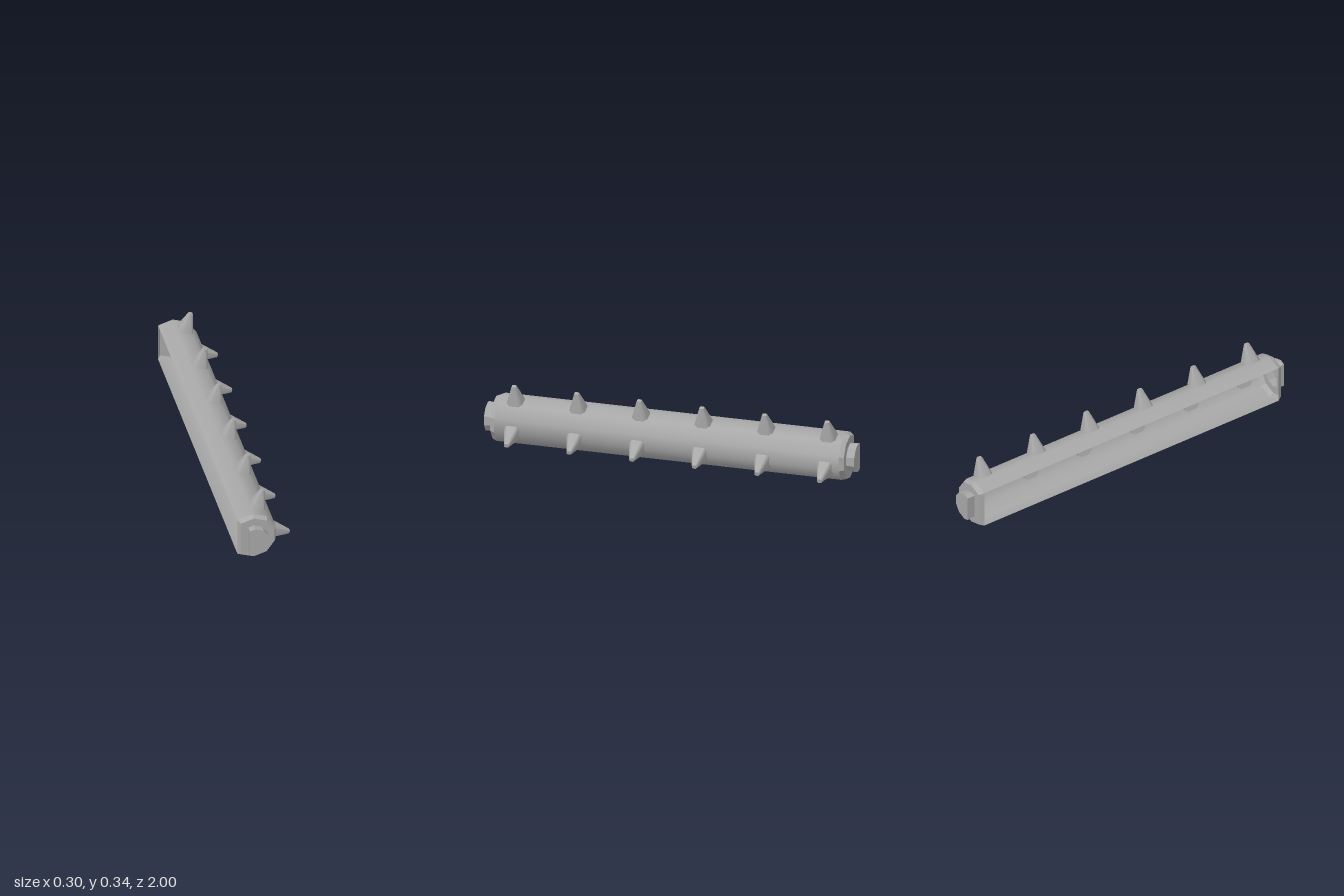
import * as THREE from 'three';
import { mergeGeometries } from 'three/addons/utils/BufferGeometryUtils.js';

// Skin a list of equal-length rings of [x, y, z] points
function loft(rings, closed = true, flat = false) {
  const n = rings[0].length, index = [];
  for (let r = 0; r < rings.length - 1; r++) {
    for (let i = 0; i < (closed ? n : n - 1); i++) {
      const j = (i + 1) % n, a = r * n + i, b = r * n + j;
      index.push(a, b, b + n, a, b + n, a + n);
    }
  }
  let geo = new THREE.BufferGeometry();
  geo.setAttribute('position', new THREE.Float32BufferAttribute(rings.flat(2), 3));
  geo.setIndex(index);
  if (flat) geo = geo.toNonIndexed();
  geo.computeVertexNormals();
  return flat ? geo : geo.toNonIndexed();
}

// Close a ring with a flat face
function cap(ring) {
  const c = [0, 1, 2].map(k => ring.reduce((s, p) => s + p[k], 0) / ring.length);
  return loft([ring, ring.map(() => c)], true, true);
}

// D-shaped section, counter-clockwise seen from the front
const outer = [[-0.15, 0.025], [-0.068, 0], [0.005, 0.025], [0.053, 0.09],
  [0.053, 0.168], [0.005, 0.235], [-0.068, 0.257], [-0.15, 0.235]];
const inner = [[-0.136, 0.034], [-0.068, 0.013], [-0.001, 0.034], [0.042, 0.094],
  [0.042, 0.164], [0.002, 0.224], [-0.068, 0.246], [-0.136, 0.224]];
const plug = [[-0.1, 0.06], [-0.07, 0.051], [-0.023, 0.065], [0.006, 0.105],
  [0.006, 0.153], [-0.023, 0.193], [-0.07, 0.208], [-0.1, 0.199]];
const at = (section, z) => section.map(([x, y]) => [x, y, z]);
const shrink = (section, k) => section.map(([x, y]) => [-0.047 + (x + 0.047) * k, 0.13 + (y - 0.13) * k]);

// Spike from [pointA, pointB, halfDepth] stations running from base to tip
function spikeGeometry(stations) {
  const outline = [[-1, 0.6], [-1, -0.6], [-0.7, -1], [0.7, -1], [1, -0.6], [1, 0.6], [0.7, 1], [-0.7, 1]];
  const rings = stations.map(([a, b, d]) => outline.map(([u, w]) => {
    const t = (u + 1) / 2;
    return [a[0] + (b[0] - a[0]) * t, a[1] + (b[1] - a[1]) * t, -w * d];
  })).map(ring => ring.reverse());
  return mergeGeometries([loft(rings), cap(rings[rings.length - 1]), cap([...rings[0]].reverse())]);
}

export function createModel() {
  const metal = new THREE.MeshStandardMaterial({ color: 0xa8a8a8, side: THREE.DoubleSide });
  metal.name = 'grey metal';
  const group = new THREE.Group();
  group.name = 'spikedBar';
  const add = (name, geo, parent = group) => {
    const mesh = new THREE.Mesh(geo, metal);
    mesh.name = name;
    parent.add(mesh);
    return mesh;
  };

  // Hollow body, open along its flat side
  add('shell', loft([at(outer, -0.93), at(outer, 0.93)], false));

  // Bevelled ends with a slightly flared plug
  const base = shrink(plug, 0.94);
  const bevel = loft([at(outer, 0.93), at(inner, 0.955)], true, true);
  const face = loft([at(inner, 0.955), at(base, 0.955)], true, true);
  const stub = mergeGeometries([loft([at(base, 0.955), at(plug, 1)], true, true), cap(at(plug, 1))]);
  for (const s of [1, -1]) {
    const end = new THREE.Group();
    end.name = s > 0 ? 'frontEnd' : 'backEnd';
    end.scale.z = s;
    add('bevel', bevel, end);
    add('endFace', face, end);
    add('plug', stub, end);
    group.add(end);
  }

  // Two rows of leaning spikes
  const upper = spikeGeometry([
    [[-0.07, 0.246], [0.009, 0.215], 0.043],
    [[-0.065, 0.257], [0.011, 0.232], 0.042],
    [[-0.005, 0.343], [0.015, 0.337], 0.012]]);
  const lower = spikeGeometry([
    [[0.042, 0.142], [0.012, 0.052], 0.043],
    [[0.053, 0.136], [0.026, 0.052], 0.042],
    [[0.147, 0.072], [0.142, 0.052], 0.012]]);
  for (let i = 0; i < 6; i++) {
    const z = -0.853 + i * 0.338;
    add('upperSpike', upper).position.z = z;
    add('lowerSpike', lower).position.z = z;
  }
  return group;
}
